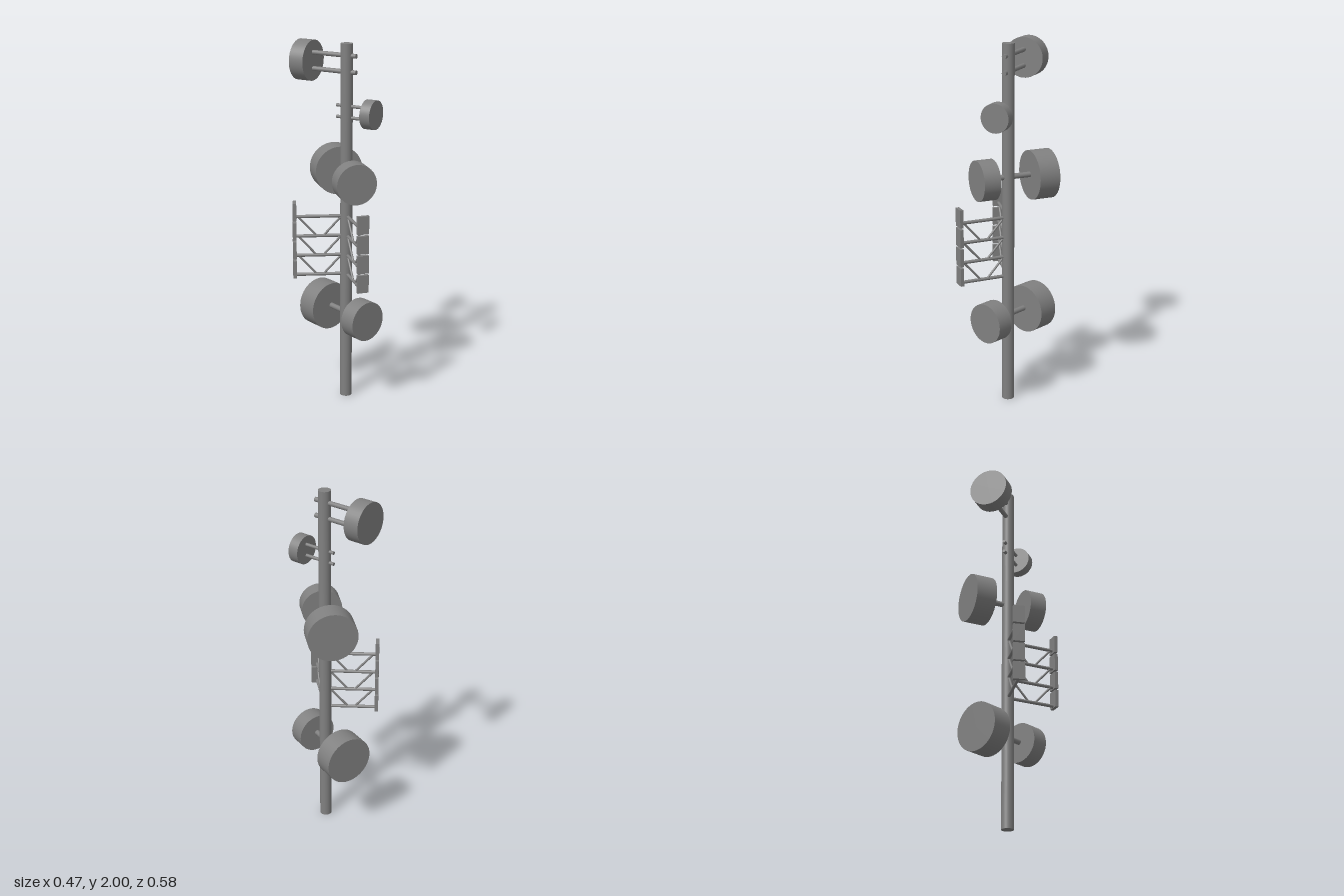
import * as THREE from 'three';

const steel = new THREE.MeshStandardMaterial({ color: 0x808080 });
steel.name = 'grey steel';

function add(parent, name, geometry) {
  const mesh = new THREE.Mesh(geometry, steel);
  mesh.name = name;
  parent.add(mesh);
  return mesh;
}

// Round bar between two points
function rod(parent, name, a, b, radius) {
  const from = new THREE.Vector3(...a), to = new THREE.Vector3(...b);
  const dir = to.clone().sub(from);
  const mesh = add(parent, name, new THREE.CylinderGeometry(radius, radius, dir.length(), 16));
  mesh.position.copy(from).add(to).multiplyScalar(0.5);
  mesh.quaternion.setFromUnitVectors(new THREE.Vector3(0, 1, 0), dir.normalize());
}

// Group on the mast axis whose local +z points outward along (dx, dz)
function mount(parent, name, y, dx, dz) {
  const group = new THREE.Group();
  group.name = name;
  group.position.y = y;
  group.rotation.y = Math.atan2(dx, dz);
  parent.add(group);
  return group;
}

// Drum dish between two distances, held by arms at the given heights
function drumDish(parent, name, d) {
  const g = mount(parent, name, d.y, d.dir[0], d.dir[1]);
  const drum = add(g, 'drum', new THREE.CylinderGeometry(d.r, d.r, d.outer - d.inner, 48));
  drum.rotation.x = Math.PI / 2;
  drum.position.z = (d.inner + d.outer) / 2;
  for (const h of d.arms) rod(g, 'arm', [0, h, d.start], [0, h, d.inner + 0.005], d.armR);
}

// Column of four panels on a braced bracket
function panelArray(parent, name, dx, dz) {
  const g = mount(parent, name, 0, dx, dz);
  for (let i = 0; i < 4; i++) {
    const panel = add(g, 'panel', new THREE.BoxGeometry(0.063, 0.099, 0.019));
    panel.position.set(0, 0.768 + i * 0.1087, 0.282);
    const y = 0.73 + i * 0.111;
    rod(g, 'bar', [0, y, 0], [0, y, 0.275], 0.009);
    if (i > 0) {
      rod(g, 'brace', [0, y, 0.262], [0, y - 0.111, 0.162], 0.006);
      rod(g, 'brace', [0, y, 0.025], [0, y - 0.111, 0.125], 0.006);
    }
  }
}

export function createModel() {
  const model = new THREE.Group();
  model.name = 'antennaMast';
  const tower = new THREE.Group();
  tower.name = 'tower';
  tower.position.set(0.058, 0, -0.005);
  model.add(tower);

  // Mast
  add(tower, 'mast', new THREE.CylinderGeometry(0.033, 0.033, 2, 32)).position.y = 1;

  // Upper dishes on paired arms that pass through the mast
  drumDish(tower, 'topDish', { y: 1.893, dir: [-0.67, -0.742], r: 0.109, inner: 0.205, outer: 0.289, arms: [-0.043, 0.043], start: -0.058, armR: 0.0125 });
  drumDish(tower, 'smallDish', { y: 1.638, dir: [0.67, 0.742], r: 0.078, inner: 0.12, outer: 0.178, arms: [-0.031, 0.031], start: -0.06, armR: 0.009 });

  // Two opposed pairs, a large dish behind and a smaller one in front
  for (const [y, dx, dz] of [[1.283, 0, 1], [0.498, 0.382, 0.924]]) {
    drumDish(tower, 'backDish', { y, dir: [-dx, -dz], r: 0.134, inner: 0.127, outer: 0.243, arms: [0.004], start: 0, armR: 0.015 });
    drumDish(tower, 'frontDish', { y, dir: [dx, dz], r: 0.11, inner: 0.089, outer: 0.183, arms: [0.004], start: 0, armR: 0.015 });
  }

  // Panel arrays
  panelArray(tower, 'frontPanelArray', 0, 1);
  panelArray(tower, 'sidePanelArray', -0.973, -0.23);
  return model;
}
